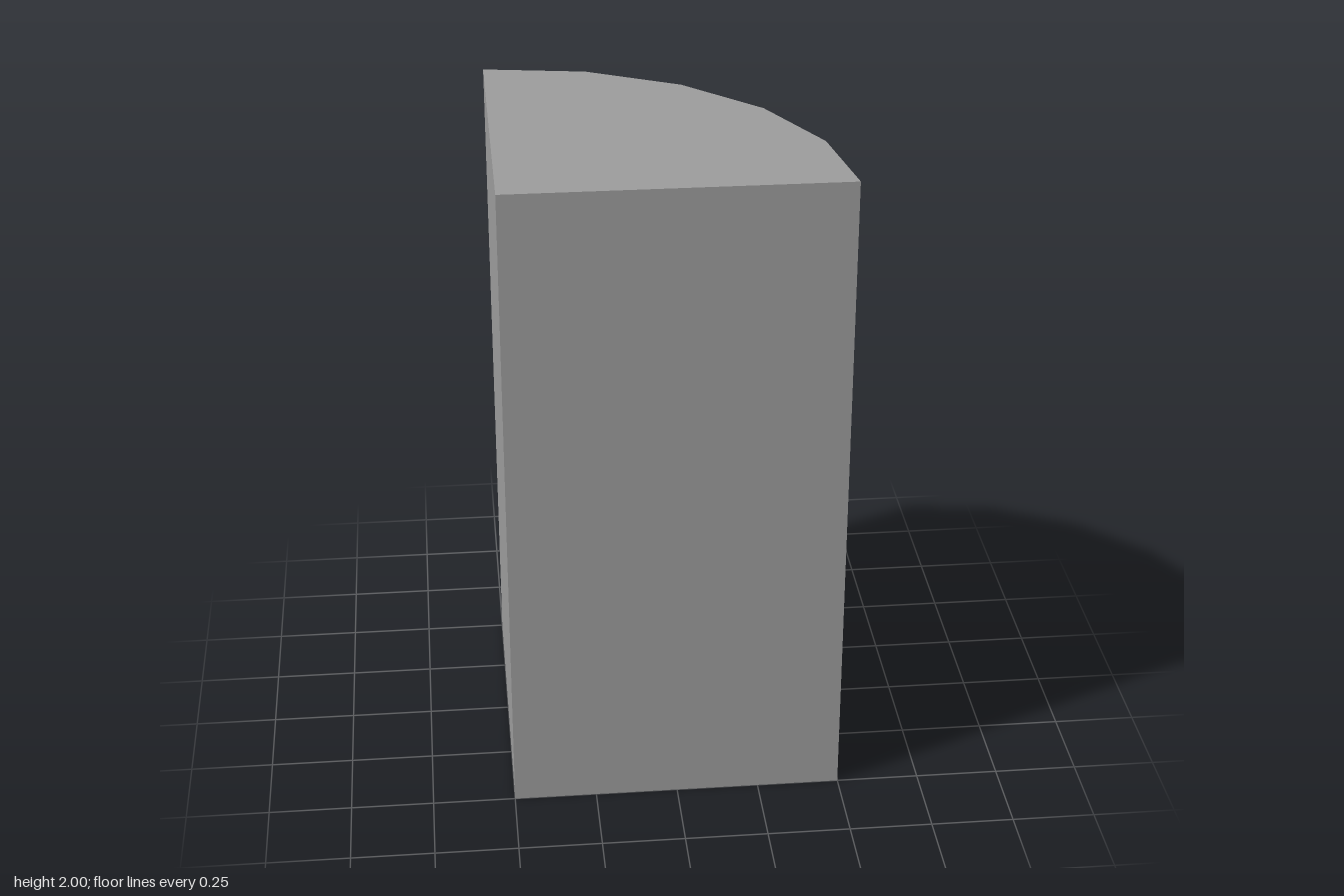
import * as THREE from 'three';

const WIDTH = 1;
const HEIGHT = 2;
const ARC_SEGMENTS = 5;

export function createModel() {
  const group = new THREE.Group();
  group.name = 'quarterCylinder';
  const material = new THREE.MeshStandardMaterial({ color: 0x9c9c9c });

  const addPart = (name, geometry, x, z, turn = 0) => {
    const mesh = new THREE.Mesh(geometry, material);
    mesh.name = name;
    mesh.position.set(x, HEIGHT / 2, z);
    mesh.rotation.y = turn;
    group.add(mesh);
  };

  // Smooth curved wall with its top and bottom caps, around the front right corner
  const curve = new THREE.CylinderGeometry(
    WIDTH, WIDTH, HEIGHT, ARC_SEGMENTS, 1, false, Math.PI / 2, Math.PI / 2
  );
  addPart('curvedWallAndCaps', curve, -WIDTH / 2, WIDTH / 2);

  // Two flat walls closing the wedge
  const wall = new THREE.PlaneGeometry(WIDTH, HEIGHT);
  addPart('frontWall', wall, 0, WIDTH / 2);
  addPart('rightWall', wall, -WIDTH / 2, 0, -Math.PI / 2);

  return group;
}
